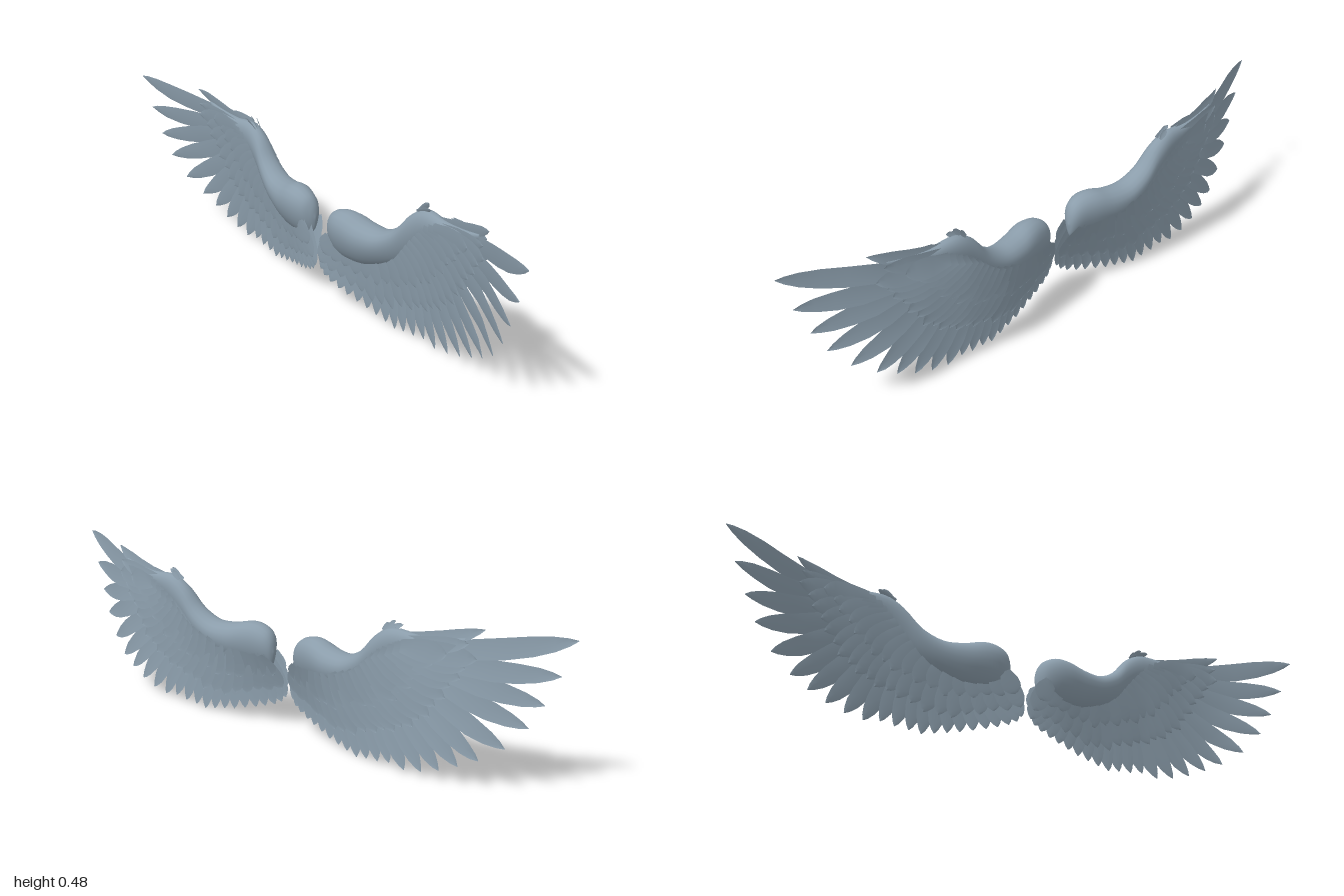
import * as THREE from 'three';
import { mergeGeometries } from 'three/addons/utils/BufferGeometryUtils.js';

const V = (x, y, z = 0) => new THREE.Vector3(x, y, z);
const spline = (pts) => new THREE.CatmullRomCurve3(pts.map((p) => V(...p)), false, 'catmullrom');

// depth of the wing sheet along the span: [x, z]
const SHEET = [[0, 0.02], [0.1, 0], [0.2, -0.022], [0.3, -0.036], [0.45, -0.045], [0.6, -0.04],
  [0.72, -0.024], [0.82, 0.012], [0.9, 0.042], [1.02, 0.077]];
function sheetZ(x) {
  let i = 1;
  while (i < SHEET.length - 1 && x > SHEET[i][0]) i++;
  const [a, b] = [SHEET[i - 1], SHEET[i]];
  return a[1] + (b[1] - a[1]) * (x - a[0]) / (b[0] - a[0]);
}

// relative half-width of a feather from root to tip: [u, width]
const OUTLINE = [[0, 0.55], [0.2, 0.75], [0.4, 0.95], [0.6, 1], [0.75, 0.92], [0.87, 0.68], [0.95, 0.36], [1, 0.03]];

// one cambered blade lying on the wing sheet; lift(u) moves it off the sheet
function feather(root, tip, half, { sag = 0, lift = () => 0, tilt = 0.004 } = {}) {
  const dir = tip.clone().sub(root).setZ(0).normalize();
  const pos = [], idx = [];
  OUTLINE.forEach(([u, w], i) => {
    const cx = root.x + (tip.x - root.x) * u;
    const cy = root.y + (tip.y - root.y) * u - sag * 4 * u * (1 - u);
    for (const v of [-1, 0, 1]) {
      const x = Math.max(0.001, cx - dir.y * half * w * v);
      pos.push(x, cy + dir.x * half * w * v, sheetZ(x) + lift(u) + tilt * v * w - 0.002 * Math.abs(v));
    }
    if (i) for (let k = 0; k < 2; k++) {
      const a = (i - 1) * 3 + k, b = a + 3;
      idx.push(a, b, b + 1, a, b + 1, a + 1);
    }
  });
  const g = new THREE.BufferGeometry();
  g.setAttribute('position', new THREE.Float32BufferAttribute(pos, 3));
  g.setIndex(idx);
  g.computeVertexNormals();
  return g;
}

// arm sections: [x, top y, bottom y, front z, back z]
const ARM = [[0.045, 0.25, 0.24, -0.005, -0.01], [0.052, 0.285, 0.205, 0.012, -0.025],
  [0.07, 0.312, 0.188, 0.033, -0.038], [0.105, 0.328, 0.178, 0.046, -0.05], [0.15, 0.33, 0.174, 0.048, -0.063],
  [0.21, 0.316, 0.178, 0.039, -0.074], [0.28, 0.315, 0.2, 0.022, -0.079], [0.345, 0.348, 0.23, 0.005, -0.079],
  [0.4, 0.407, 0.268, -0.008, -0.077], [0.46, 0.437, 0.312, -0.015, -0.074], [0.55, 0.432, 0.36, -0.018, -0.06],
  [0.63, 0.438, 0.395, -0.022, -0.046], [0.7, 0.45, 0.432, -0.024, -0.032]];

// smooth muscular leading edge, lofted with teardrop sections
function armGeometry() {
  const upper = spline(ARM.map((s) => [s[0], s[1], s[3]]));
  const lower = spline(ARM.map((s) => [s[0], s[2], s[4]]));
  const N = 48, M = 20, pos = [], idx = [];
  for (let i = 0; i <= N; i++) {
    const a = upper.getPoint(i / N), b = lower.getPoint(i / N);
    for (let j = 0; j < M; j++) {
      const t = (j / M) * Math.PI * 2, c = Math.cos(t);
      pos.push(a.x, (a.y + b.y) / 2 + c * (a.y - b.y) / 2,
        (a.z + b.z) / 2 + Math.sin(t) * (0.92 + 0.28 * c) * (a.z - b.z) / 2);
      if (i < N) {
        const k = (j + 1) % M, p = i * M;
        idx.push(p + j, p + k, p + M + j, p + k, p + M + k, p + M + j);
      }
    }
  }
  for (let j = 1; j < M - 1; j++) idx.push(0, j + 1, j, N * M, N * M + j, N * M + j + 1);
  const g = new THREE.BufferGeometry();
  g.setAttribute('position', new THREE.Float32BufferAttribute(pos, 3));
  g.setIndex(idx);
  g.computeVertexNormals();
  return g;
}

// feather roots along the arm, wrist to shoulder
const ROOTS = spline([[0.52, 0.405], [0.42, 0.36], [0.33, 0.29], [0.2, 0.25], [0.08, 0.235]]);

// flight feather tips from the outermost inwards
const PRIMARY_TIPS = [[1, 0.482], [0.96, 0.375], [0.92, 0.285], [0.88, 0.212], [0.82, 0.142], [0.75, 0.095],
  [0.69, 0.066], [0.63, 0.04], [0.57, 0.022], [0.51, 0.012]];
const SECONDARY_TIPS = [[0.455, 0.02], [0.41, 0.012], [0.365, 0.008], [0.325, 0.002], [0.285, 0.01], [0.245, 0.018],
  [0.205, 0.026], [0.165, 0.036], [0.125, 0.046], [0.09, 0.056], [0.055, 0.068], [0.03, 0.082], [0.015, 0.1]];
const COVERT_TIPS = spline([[0.74, 0.395], [0.67, 0.3], [0.6, 0.2], [0.51, 0.14], [0.41, 0.105], [0.28, 0.065],
  [0.15, 0.09], [0.02, 0.125]]);

export function createModel() {
  const plumage = new THREE.MeshStandardMaterial({ color: 0x8b9dab, side: THREE.DoubleSide });
  const wing = new THREE.Group();
  const add = (name, geos) => {
    const m = new THREE.Mesh(mergeGeometries(geos), plumage);
    m.name = name;
    wing.add(m);
  };

  add('arm', [armGeometry()]);

  const nP = PRIMARY_TIPS.length, nAll = nP + SECONDARY_TIPS.length;
  add('primaryFeathers', PRIMARY_TIPS.map((p, i) =>
    feather(ROOTS.getPoint(i / (nAll - 1)), V(...p), 0.031, { sag: i < 2 ? 0.018 : 0.008 })));
  add('secondaryFeathers', SECONDARY_TIPS.map((p, i) =>
    feather(ROOTS.getPoint((nP + i) / (nAll - 1)), V(...p), 0.031)));

  // rows of overlapping covert feathers, on both faces of the wing
  const coverts = (count, reach, half, lift) => Array.from({ length: count }, (_, i) => {
    const t = i / (count - 1), root = ROOTS.getPoint(t);
    return feather(root, root.clone().lerp(COVERT_TIPS.getPoint(t), reach - 0.04 * (i % 2)), half, { lift });
  });
  add('frontCoverts', coverts(22, 1.02, 0.032, (u) => 0.009 + 0.012 * (1 - u)));
  add('backCoverts', coverts(22, 1, 0.034, (u) => -0.008 - 0.03 * (1 - u)));
  add('frontLesserCoverts', coverts(18, 0.66, 0.034, (u) => 0.016 + 0.012 * (1 - u)));
  add('backLesserCoverts', coverts(18, 0.62, 0.034, (u) => -0.02 - 0.026 * (1 - u)));

  // long feathers along the leading edge
  add('alulaFeathers', [
    feather(V(0.44, 0.415), V(0.755, 0.482), 0.022, { sag: 0.018 }),
    feather(V(0.43, 0.395), V(0.74, 0.435), 0.026, { sag: 0.006, lift: () => 0.012 }),
    feather(V(0.43, 0.395), V(0.72, 0.44), 0.026, { sag: 0.006, lift: () => -0.014 }),
  ]);

  // small ruffled tuft on the wrist
  add('wristTuft', [[0.465, 0.458, 0.004], [0.45, 0.452, -0.008], [0.485, 0.448, 0.012]].map(([x, y, z]) =>
    feather(V(0.425, 0.425), V(x, y), 0.008, { lift: () => z })));

  wing.name = 'leftWing';
  const mirrored = wing.clone();
  mirrored.name = 'rightWing';
  mirrored.scale.x = -1;

  const model = new THREE.Group();
  model.name = 'wings';
  model.add(wing, mirrored);
  return model;
}
